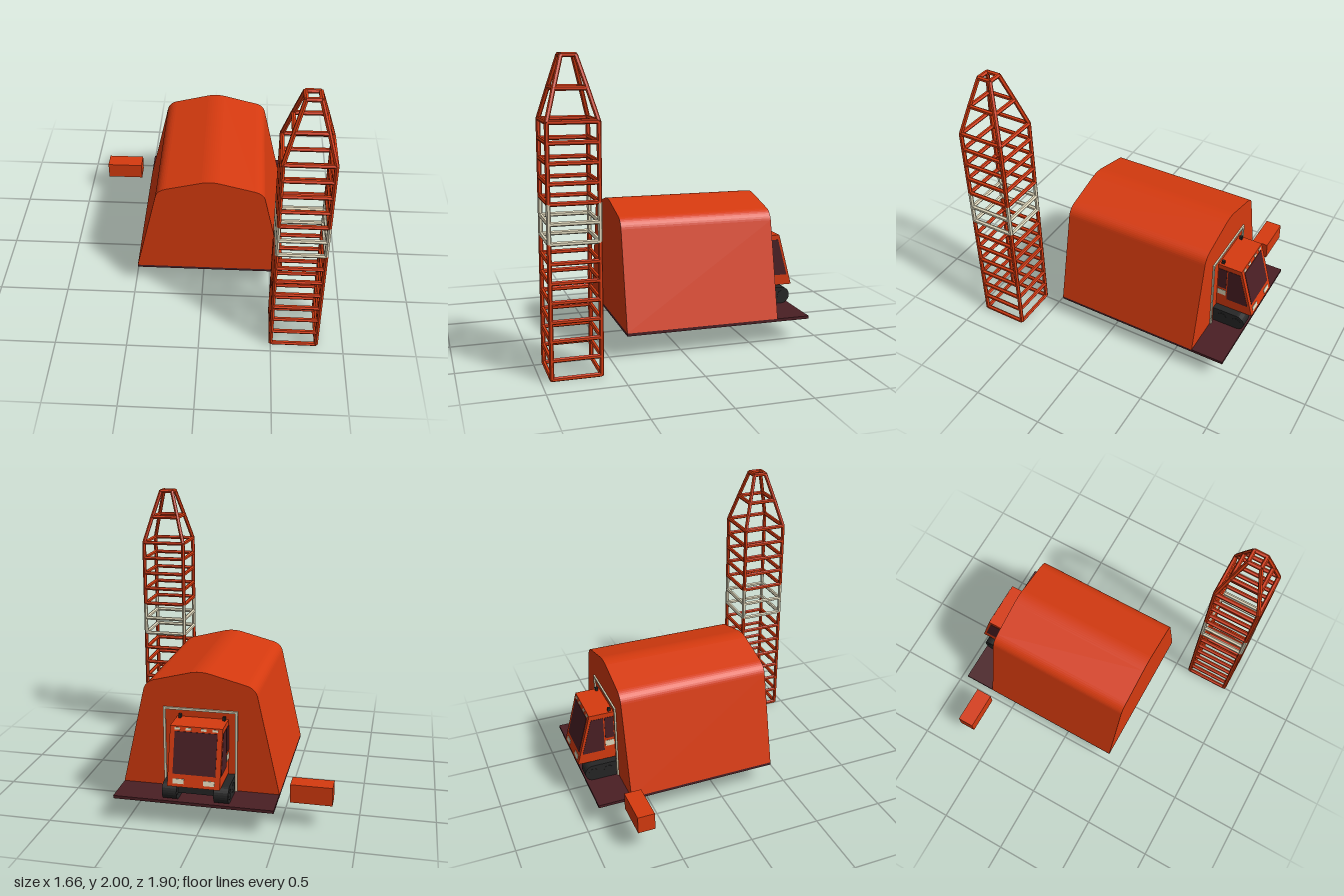
import * as THREE from 'three';

const paint = (color) => new THREE.MeshStandardMaterial({ color, flatShading: true });

export function createModel() {
  const orange = paint(0xd63a0f), maroon = paint(0x4a1f24);
  const cream = paint(0xe0d8bc), black = paint(0x262626);
  const model = new THREE.Group();

  const add = (parent, name, geometry, material) => {
    const mesh = new THREE.Mesh(geometry, material);
    mesh.name = name;
    parent.add(mesh);
    return mesh;
  };
  const group = (name) => {
    const g = new THREE.Group();
    g.name = name;
    model.add(g);
    return g;
  };
  // box given by its lower and upper limits
  const box = (parent, name, [x0, x1], [y0, y1], [z0, z1], material) => {
    const mesh = add(parent, name, new THREE.BoxGeometry(x1 - x0, y1 - y0, z1 - z0), material);
    mesh.position.set((x0 + x1) / 2, (y0 + y1) / 2, (z0 + z1) / 2);
    return mesh;
  };
  // side profile of [-z, y] points, extruded from x0 to x1
  const sideExtrude = (parent, name, points, x0, x1, material) => {
    const shape = new THREE.Shape(points.map(([u, y]) => new THREE.Vector2(u, y)));
    const geometry = new THREE.ExtrudeGeometry(shape, { depth: x1 - x0, bevelEnabled: false });
    geometry.rotateY(Math.PI / 2).translate(x0, 0, 0);
    return add(parent, name, geometry, material);
  };

  // Hangar: sloping walls, rounded eaves and ridge
  const hangar = group('hangar');
  box(hangar, 'floorSlab', [-0.48, 0.585], [0.16, 0.18], [-0.91, 0.395], maroon);
  const s = new THREE.Shape();
  s.moveTo(-0.533, 0.18);
  s.lineTo(0.533, 0.18);
  s.lineTo(0.382, 0.845);
  s.quadraticCurveTo(0.37, 0.9, 0.31, 0.918);
  s.lineTo(0.06, 0.983);
  s.quadraticCurveTo(0, 0.996, -0.06, 0.983);
  s.lineTo(-0.31, 0.918);
  s.quadraticCurveTo(-0.37, 0.9, -0.382, 0.845);
  s.closePath();
  const shell = add(hangar, 'hangarShell',
    new THREE.ExtrudeGeometry(s, { depth: 1.07, bevelEnabled: false, curveSegments: 8 }), orange);
  shell.position.set(0.0525, 0, -0.675);

  // Cream door frame on the rear wall
  const frameZ = [-0.686, -0.67];
  box(hangar, 'doorPostRight', [-0.2, -0.185], [0.18, 0.74], frameZ, cream);
  box(hangar, 'doorPostLeft', [0.285, 0.3], [0.18, 0.74], frameZ, cream);
  box(hangar, 'doorLintel', [-0.2, 0.3], [0.725, 0.74], frameZ, cream);

  // Tracked vehicle leaving through the door, facing -z
  const vehicle = group('trackedVehicle');
  const cx = 0.0325;
  sideExtrude(vehicle, 'cab',
    [[0.66, 0.305], [0.95, 0.305], [0.85, 0.68], [0.66, 0.68]], cx - 0.172, cx + 0.172, orange);
  box(vehicle, 'underbody', [cx - 0.12, cx + 0.12], [0.23, 0.31], [-0.88, -0.66], black);

  // thin plates lying on the sloped nose
  const slopeU = (y) => 0.95 - (y - 0.305) * (0.1 / 0.375);
  const nosePlate = (name, y0, y1, x0, x1, material) => sideExtrude(vehicle, name,
    [[slopeU(y0) - 0.004, y0], [slopeU(y0) + 0.003, y0],
      [slopeU(y1) + 0.003, y1], [slopeU(y1) - 0.004, y1]], x0, x1, material);
  nosePlate('windscreen', 0.385, 0.648, cx - 0.14, cx + 0.14, maroon);
  for (const side of [-1, 1]) {
    const x = cx + side * 0.1;
    nosePlate('headlight', 0.325, 0.355, x - 0.036, x + 0.036, cream);
    for (const dx of [0.05, 0.125]) {
      const lx = cx + side * dx;
      nosePlate('roofLight', 0.658, 0.672, lx - 0.018, lx + 0.018, cream);
    }
    // side windows and cream panel
    const a = cx + side * 0.172 - 0.002, b = a + 0.004;
    sideExtrude(vehicle, 'frontSideWindow',
      [[0.752, 0.38], [0.913, 0.38], [0.84, 0.645], [0.752, 0.645]], a, b, maroon);
    box(vehicle, 'rearSideWindow', [a, b], [0.475, 0.645], [-0.743, -0.68], maroon);
    box(vehicle, 'sidePanel', [a, b], [0.41, 0.455], [-0.743, -0.68], cream);
    // roof stubs
    box(vehicle, 'roofStub', [cx + side * 0.147 - 0.009, cx + side * 0.147 + 0.009],
      [0.675, 0.705], [-0.71, -0.69], black);
    // rounded track with two wheel hubs
    const track = [];
    for (let i = 0; i <= 12; i++) {
      const t = -Math.PI / 2 + (Math.PI * i) / 12;
      track.push([0.857 + 0.058 * Math.cos(t), 0.239 + 0.059 * Math.sin(t)]);
    }
    track.push([0.6, 0.298], [0.6, 0.18]);
    const tx = cx + side * 0.17;
    sideExtrude(vehicle, 'track', track, tx - 0.048, tx + 0.048, black);
    for (const z of [-0.855, -0.745]) {
      const hub = add(vehicle, 'wheelHub', new THREE.CylinderGeometry(0.035, 0.035, 0.1, 12), black);
      hub.rotation.z = Math.PI / 2;
      hub.position.set(tx, 0.239, z);
    }
  }

  // Crate beside the hangar
  const crate = group('crateGroup');
  box(crate, 'crate', [-0.835, -0.56], [0.17, 0.295], [-0.75, -0.63], orange);

  // Lattice tower
  const tower = group('latticeTower');
  tower.position.set(0.658, 0, 0.778);
  const up = new THREE.Vector3(0, 1, 0);
  const bar = (name, a, b, material) => {
    const d = new THREE.Vector3().subVectors(b, a);
    const mesh = add(tower, name, new THREE.CylinderGeometry(0.015, 0.015, d.length(), 6), material);
    mesh.position.addVectors(a, b).multiplyScalar(0.5);
    mesh.quaternion.setFromUnitVectors(up, d.normalize());
  };
  const corner = (i, h, y) => new THREE.Vector3(
    h * (i % 4 === 0 || i % 4 === 3 ? 1 : -1), y, h * (i % 4 < 2 ? 1 : -1));
  const H = 0.157, step = 0.1215, base = 0.015;
  const levels = Array.from({ length: 14 }, (_, i) => [H, base + i * step]);
  levels.push([0.102, 1.79], [0.045, 1.985]);
  levels.forEach(([h, y], k) => {
    for (let i = 0; i < 4; i++) {
      const ringMaterial = k === 7 || k === 8 ? cream : orange;
      bar('towerRung', corner(i, h, y), corner(i + 1, h, y), ringMaterial);
      if (k < levels.length - 1) {
        const [h2, y2] = levels[k + 1];
        bar('towerLeg', corner(i, h, y), corner(i, h2, y2), ringMaterial);
      }
    }
  });

  return model;
}
